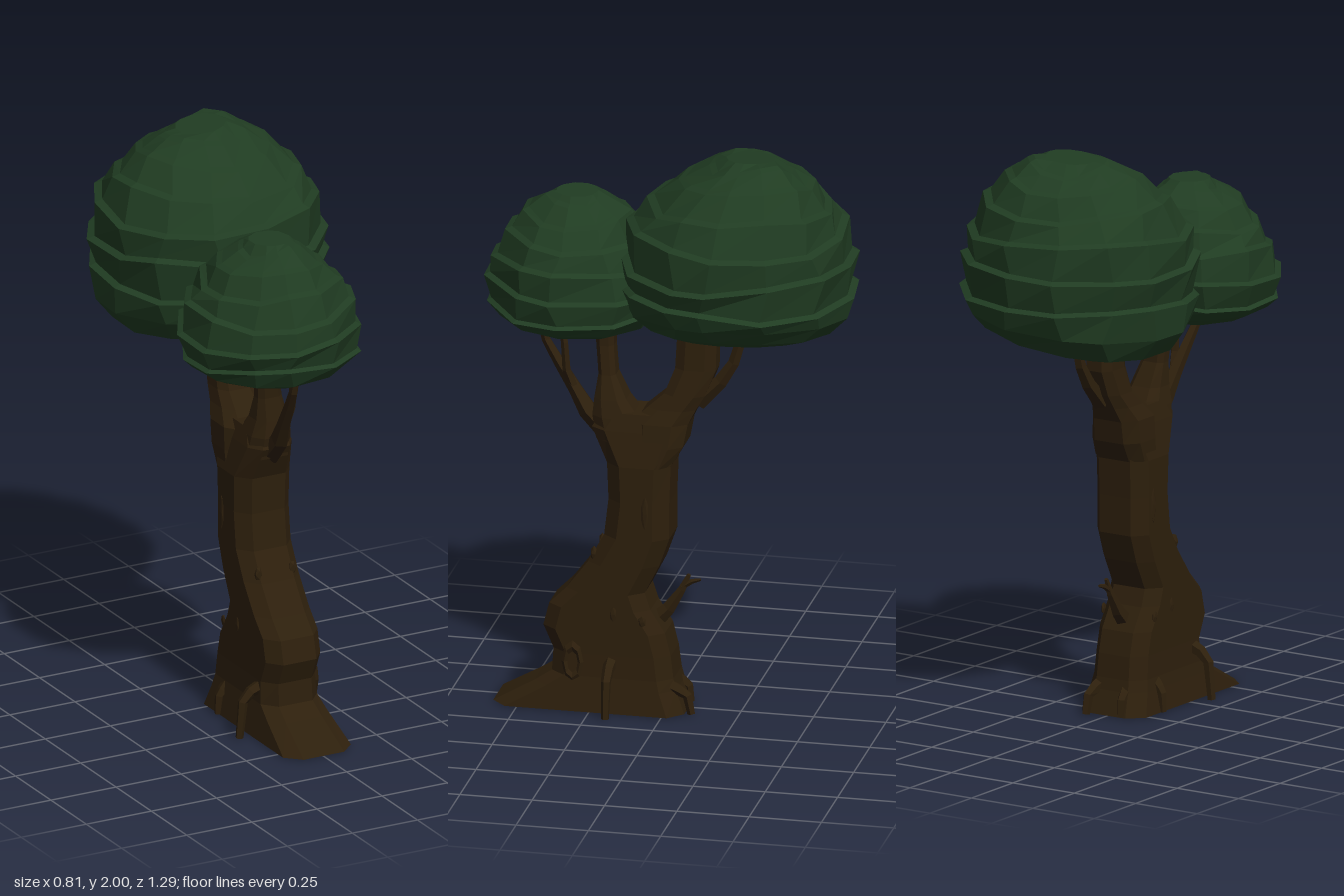
import * as THREE from 'three';

const bark = new THREE.MeshStandardMaterial({ color: 0x2d1f0c, flatShading: true });
bark.name = 'bark brown';
const leaf = new THREE.MeshStandardMaterial({ color: 0x203c22, flatShading: true });
leaf.name = 'leaf green';

// Skins a stack of rings (counterclockwise seen from the far end) and caps both ends
function loft(rings) {
  const n = rings[0].length, pos = [], idx = [];
  rings.forEach(r => r.forEach(p => pos.push(p.x, p.y, p.z)));
  for (let i = 0; i < rings.length - 1; i++) {
    for (let j = 0; j < n; j++) {
      const a = i * n + j, b = i * n + (j + 1) % n;
      idx.push(a, b, b + n, a, b + n, a + n);
    }
  }
  [0, rings.length - 1].forEach((k, top) => {
    const c = pos.length / 3, m = new THREE.Vector3();
    rings[k].forEach(p => m.addScaledVector(p, 1 / n));
    pos.push(m.x, m.y, m.z);
    for (let j = 0; j < n; j++) {
      const a = k * n + j, b = k * n + (j + 1) % n;
      if (top) idx.push(c, a, b); else idx.push(c, b, a);
    }
  });
  let g = new THREE.BufferGeometry();
  g.setAttribute('position', new THREE.Float32BufferAttribute(pos, 3));
  g.setIndex(idx);
  g = g.toNonIndexed();
  g.computeVertexNormals();
  return g;
}

// Horizontal chamfered box sections: [y, back z, front z, half width, centre x]
function column(sections) {
  return loft(sections.map(([y, back, front, hw, cx = 0]) => {
    const hz = (front - back) / 2, mid = (front + back) / 2;
    const ix = hw * 0.6, iz = hz - Math.min(0.05, hz * 0.5);
    return [[hw, iz], [hw, -iz], [ix, -hz], [-ix, -hz], [-hw, -iz], [-hw, iz], [-ix, hz], [ix, hz]]
      .map(([x, z]) => new THREE.Vector3(cx + x, y, mid + z));
  }));
}

// Tapering five-sided limb through points [x, y, z, radius]
function limb(points) {
  const p = points.map(q => new THREE.Vector3(q[0], q[1], q[2]));
  const span = p[p.length - 1].clone().sub(p[0]);
  const ref = Math.abs(span.x) > Math.abs(span.z)
    ? new THREE.Vector3(0, 0, 1) : new THREE.Vector3(1, 0, 0);
  return loft(p.map((c, i) => {
    const d = p[Math.min(i + 1, p.length - 1)].clone().sub(p[Math.max(i - 1, 0)]).normalize();
    const u = ref.clone().addScaledVector(d, -ref.dot(d)).normalize();
    const v = d.clone().cross(u);
    return Array.from({ length: 5 }, (_, j) => {
      const a = j * Math.PI * 2 / 5, r = points[i][3];
      return c.clone().addScaledVector(u, Math.cos(a) * r).addScaledVector(v, Math.sin(a) * r);
    });
  }));
}

// Leaf dome of overlapping tiers, bottom to top: [y, radius, lip, sideways tilt, shift z]
function canopy(cx, cz, tiers, sides, seed, wave) {
  let s = seed;
  const rnd = () => (s = (s * 16807) % 2147483647) / 2147483647 - 0.5;
  const angles = Array.from({ length: sides }, (_, j) => (j + rnd() * 0.3) * Math.PI * 2 / sides);
  const rings = [];
  tiers.forEach(([y, r, lip, tilt = 0, dz = 0]) => {
    const phase = rnd() * 6;
    const corners = angles.map(base => {
      const a = base + rnd() * 0.12, cr = r * (1 + rnd() * 0.05);
      const ripple = lip ? Math.sin(base * 2 + phase) * wave + rnd() * wave : 0;
      return { a, r: cr, y: y + ripple + tilt * Math.cos(a) * cr };
    });
    const ring = (dr, dy) => corners.map(c => new THREE.Vector3(
      cx + Math.cos(c.a) * (c.r + dr), c.y + dy, cz + dz - Math.sin(c.a) * (c.r + dr)));
    if (lip) rings.push(ring(lip * 0.5, -0.008), ring(-lip, 0.002));
    else rings.push(ring(0, 0));
  });
  // Each lip overhangs the tier beneath it
  return loft(rings);
}

export function createModel() {
  const tree = new THREE.Group();
  tree.name = 'tree';
  const add = (name, geometry, material = bark) => {
    const m = new THREE.Mesh(geometry, material);
    m.name = name;
    tree.add(m);
    return m;
  };

  // Leaning trunk with a flared foot
  add('trunk', column([
    [0, -0.07, 0.59, 0.13], [0.08, -0.04, 0.45, 0.115], [0.12, -0.03, 0.39, 0.108],
    [0.2, -0.02, 0.385, 0.105], [0.28, 0, 0.42, 0.105], [0.36, 0.05, 0.4, 0.105],
    [0.42, 0.07, 0.34, 0.105], [0.52, 0.02, 0.265, 0.105], [0.62, -0.015, 0.21, 0.105],
    [0.75, -0.015, 0.195, 0.105], [0.88, -0.02, 0.2, 0.106], [1.0, -0.06, 0.255, 0.085],
    [1.06, -0.06, 0.22, 0.07],
  ]));

  // Two main forks
  add('frontFork', column([
    [0.96, 0.06, 0.24, 0.085], [1.04, 0.095, 0.255, 0.075], [1.1, 0.14, 0.25, 0.06],
    [1.18, 0.18, 0.24, 0.045, -0.01], [1.28, 0.19, 0.25, 0.04, -0.02], [1.42, 0.185, 0.26, 0.038, -0.02],
  ]));
  add('backFork', column([
    [0.88, -0.02, 0.12, 0.1], [0.95, -0.06, 0.12, 0.098, -0.005], [1.03, -0.075, 0.12, 0.092, -0.01],
    [1.08, -0.1, 0.065, 0.075, -0.01], [1.13, -0.13, 0.01, 0.065, -0.01], [1.22, -0.165, -0.025, 0.052, -0.015],
    [1.42, -0.17, -0.035, 0.046, -0.02],
  ]));

  // Twigs reaching into the leaves and one bare twig low at the back
  const twigs = {
    frontTwig: [[0, 0.96, 0.2, 0.04], [0, 1.04, 0.28, 0.034], [-0.01, 1.11, 0.325, 0.025],
      [-0.02, 1.2, 0.385, 0.02], [-0.03, 1.27, 0.43, 0.016], [-0.03, 1.4, 0.465, 0.012]],
    frontSideTwig: [[-0.01, 1.09, 0.32, 0.018], [0.005, 1.18, 0.352, 0.015], [0.01, 1.28, 0.358, 0.013],
      [0.01, 1.4, 0.378, 0.011]],
    backTwig: [[0, 1.1, -0.1, 0.032], [0, 1.18, -0.18, 0.025], [0, 1.25, -0.225, 0.02],
      [0, 1.4, -0.27, 0.016]],
    lowTwig: [[0, 0.3, 0.05, 0.032], [0, 0.35, 0, 0.024], [0, 0.42, -0.045, 0.014],
      [0, 0.475, -0.07, 0.007]],
    lowTwigTip: [[0, 0.43, -0.045, 0.011], [0, 0.452, -0.08, 0.009], [0, 0.46, -0.11, 0.005]],
  };
  for (const [name, points] of Object.entries(twigs)) add(name, limb(points));

  // Bent roots stepping away from the trunk: [direction x, direction z, start x, start z, height]
  [[1.15, 0, 0.1, 0.18, 0.16], [-1, 0, -0.1, 0.31, 0.16], [-0.4, 0, -0.1, 0.08, 0.08],
    [0.1, -1, 0.06, -0.02, 0.08], [-0.1, -0.6, -0.05, -0.02, 0.07]]
    .forEach(([dx, dz, x, z, h], i) => add('root' + (i + 1), limb([
      [x - dx * 0.02, h + 0.02, z - dz * 0.02, 0.026], [x + dx * 0.03, h, z + dz * 0.03, 0.021],
      [x + dx * 0.06, h * 0.8, z + dz * 0.06, 0.018], [x + dx * 0.073, 0, z + dz * 0.073, 0.014],
    ])));

  // Knots in the bark: a hollow ring on one flank and low raised scars
  const ring = add('hollowKnot', new THREE.TorusGeometry(0.028, 0.01, 4, 8));
  ring.position.set(0.106, 0.17, 0.31);
  ring.rotation.y = Math.PI / 2;
  ring.scale.set(1, 2, 1);
  for (const side of [1, -1]) {
    [[0.35, 0.17, 0.03], [0.33, 0.07, 0.022], [0.72, 0.06, 0.07]].forEach(([y, z, h]) => {
      const scar = add('barkScar', new THREE.IcosahedronGeometry(1, 0));
      scar.position.set(side * 0.104, y, z);
      scar.scale.set(0.006, h, 0.014);
    });
    const frontScar = add('frontScar', new THREE.IcosahedronGeometry(1, 0));
    frontScar.position.set(side * 0.065, 0.55, 0.245);
    frontScar.scale.set(0.014, 0.028, 0.012);
  }

  // Layered leaf crowns
  add('largeCrown', canopy(0, -0.235, [
    [1.355, 0.24, 0, 0.16], [1.385, 0.33, 0, 0.15], [1.45, 0.383, 0, 0.1], [1.53, 0.402, 0.016, 0.04],
    [1.64, 0.403, 0.018], [1.75, 0.375, 0.018], [1.845, 0.31, 0.018, 0, -0.015],
    [1.925, 0.225, 0.016, 0.03, -0.035], [1.972, 0.14, 0.014, 0.06, -0.05], [1.99, 0.085, 0, 0.1, -0.05],
  ], 13, 71, 0.016), leaf);
  add('smallCrown', canopy(-0.07, 0.33, [
    [1.338, 0.21, 0], [1.365, 0.272, 0], [1.42, 0.302, 0.01], [1.5, 0.31, 0.014], [1.585, 0.285, 0.016],
    [1.665, 0.238, 0.016], [1.735, 0.178, 0.014], [1.782, 0.105, 0.012], [1.802, 0.072, 0],
  ], 11, 2909, 0.014), leaf);

  return tree;
}
